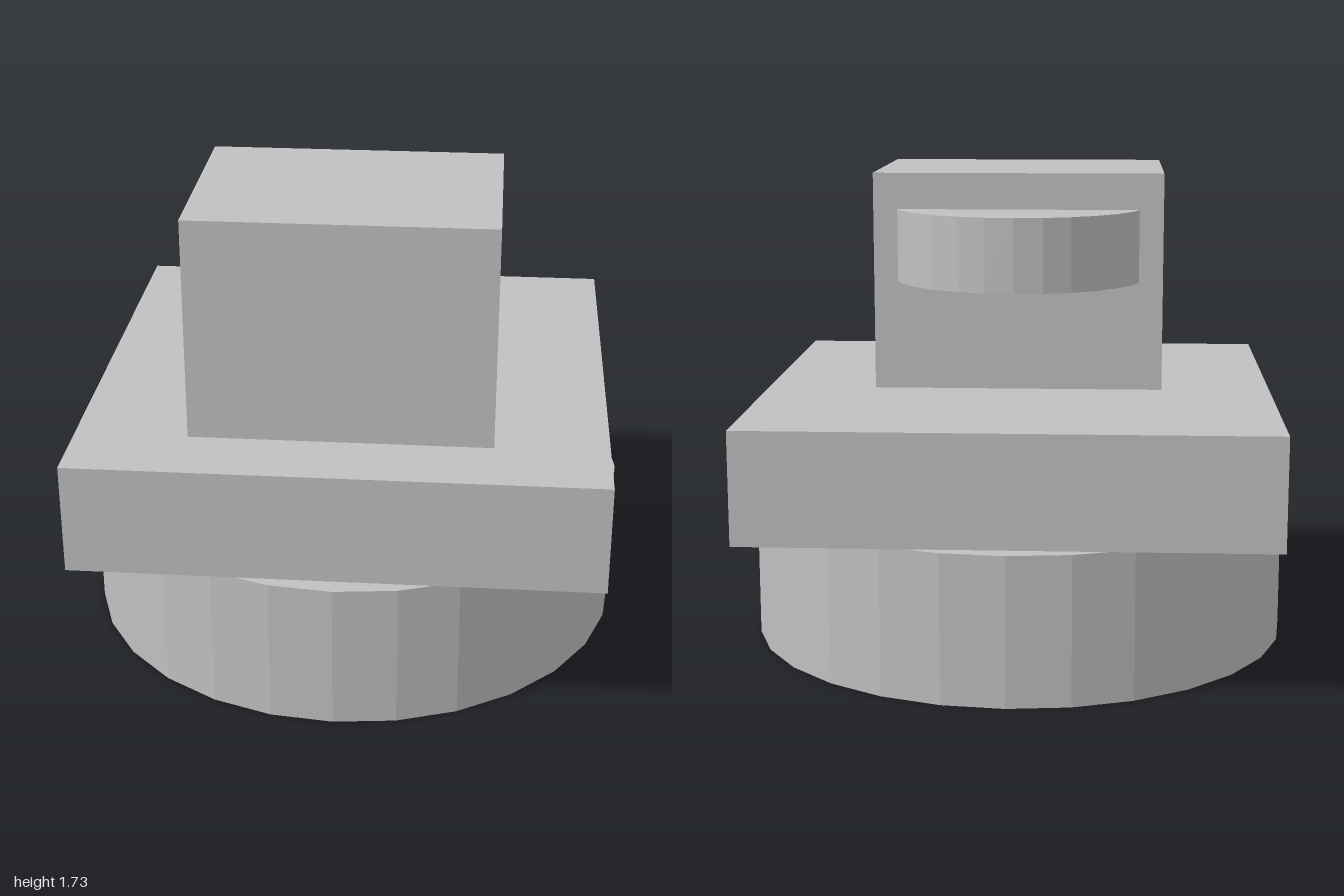
import * as THREE from 'three';

export function createModel() {
  const model = new THREE.Group();
  const grey = new THREE.MeshStandardMaterial({ color: 0xc0c0c0, flatShading: true });
  grey.name = 'plain grey';

  const add = (name, geometry, y, z = 0) => {
    const mesh = new THREE.Mesh(geometry, grey);
    mesh.name = name;
    mesh.position.set(0, y, z);
    model.add(mesh);
  };

  // Round base with a square slab on top
  add('roundBase', new THREE.CylinderGeometry(1, 1, 0.533, 28), 0.2665);
  add('squareSlab', new THREE.BoxGeometry(1.867, 0.4, 1.867), 0.733);

  // Upper block, set toward the front
  add('upperBlock', new THREE.BoxGeometry(1.067, 0.8, 0.8), 1.333, 0.267);

  // Disc emerging from the back of the block
  add('rearDisc', new THREE.CylinderGeometry(0.467, 0.467, 0.267, 28), 1.467);

  return model;
}
